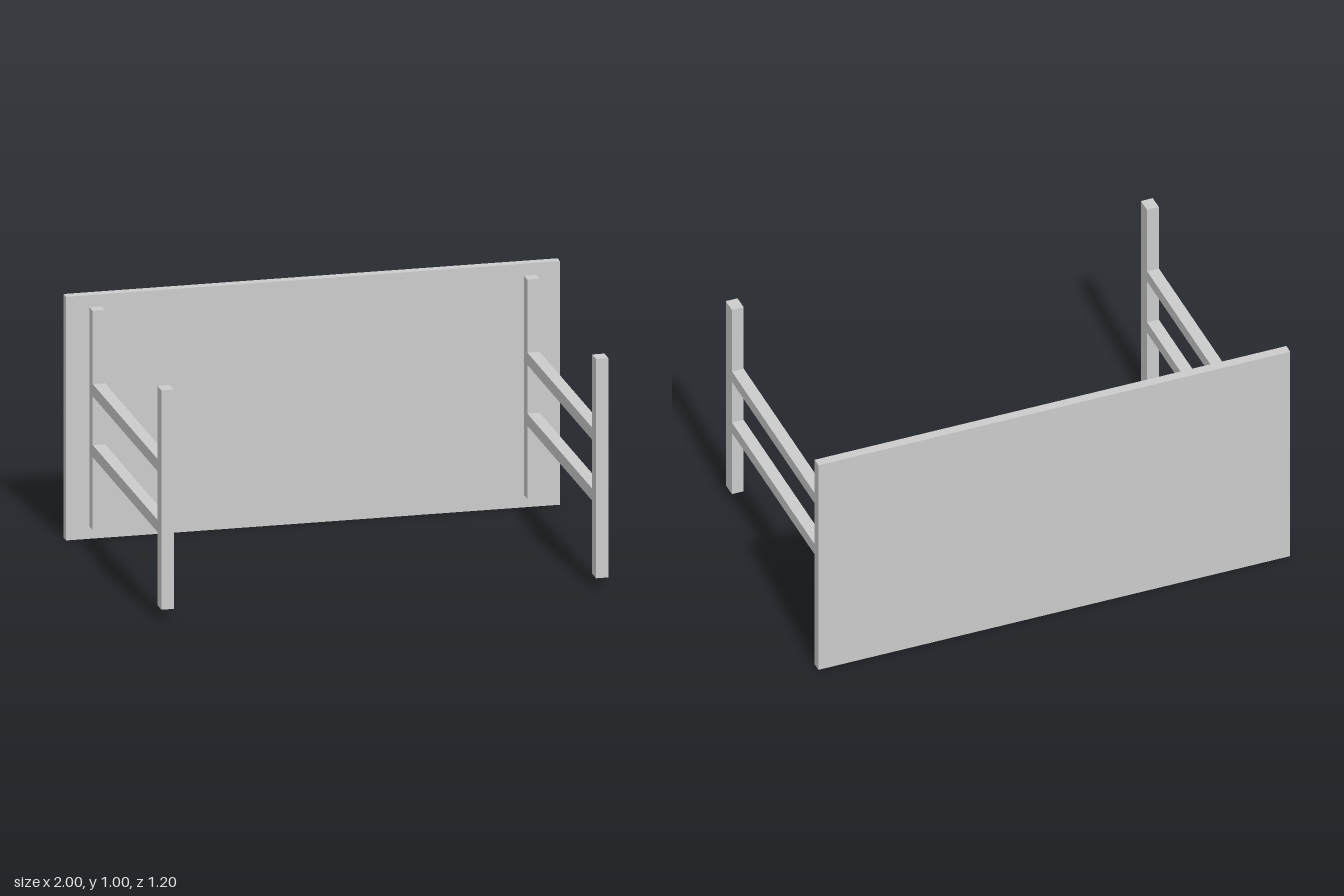
import * as THREE from 'three';

const material = new THREE.MeshStandardMaterial({ color: 0xcccccc, flatShading: true });

// Box given by its [min, max] extent on each axis
function bar(name, [x0, x1], [y0, y1], [z0, z1]) {
  const mesh = new THREE.Mesh(new THREE.BoxGeometry(x1 - x0, y1 - y0, z1 - z0), material);
  mesh.name = name;
  mesh.position.set((x0 + x1) / 2, (y0 + y1) / 2, (z0 + z1) / 2);
  return mesh;
}

export function createModel() {
  const table = new THREE.Group();
  table.name = 'tableOnItsSide';

  const topFace = -0.562, railFace = -0.511, footFace = 0.538, end = 0.602;

  // Table top standing on its long edge
  table.add(bar('tableTop', [-1, 1], [0, 1], [-end, topFace]));

  // Two mirrored leg frames: mounting rail, two legs, foot
  for (const [side, x] of [['left', 0.88], ['right', -0.88]]) {
    const width = [x - 0.025, x + 0.025];
    const frame = new THREE.Group();
    frame.name = `${side}LegFrame`;
    frame.add(bar('mountingRail', width, [0.05, 0.95], [topFace, railFace]));
    frame.add(bar('foot', width, [0.05, 0.95], [footFace, end]));
    for (const y of [0.35, 0.6]) {
      frame.add(bar('leg', width, [y, y + 0.05], [railFace, footFace]));
    }
    table.add(frame);
  }
  return table;
}
